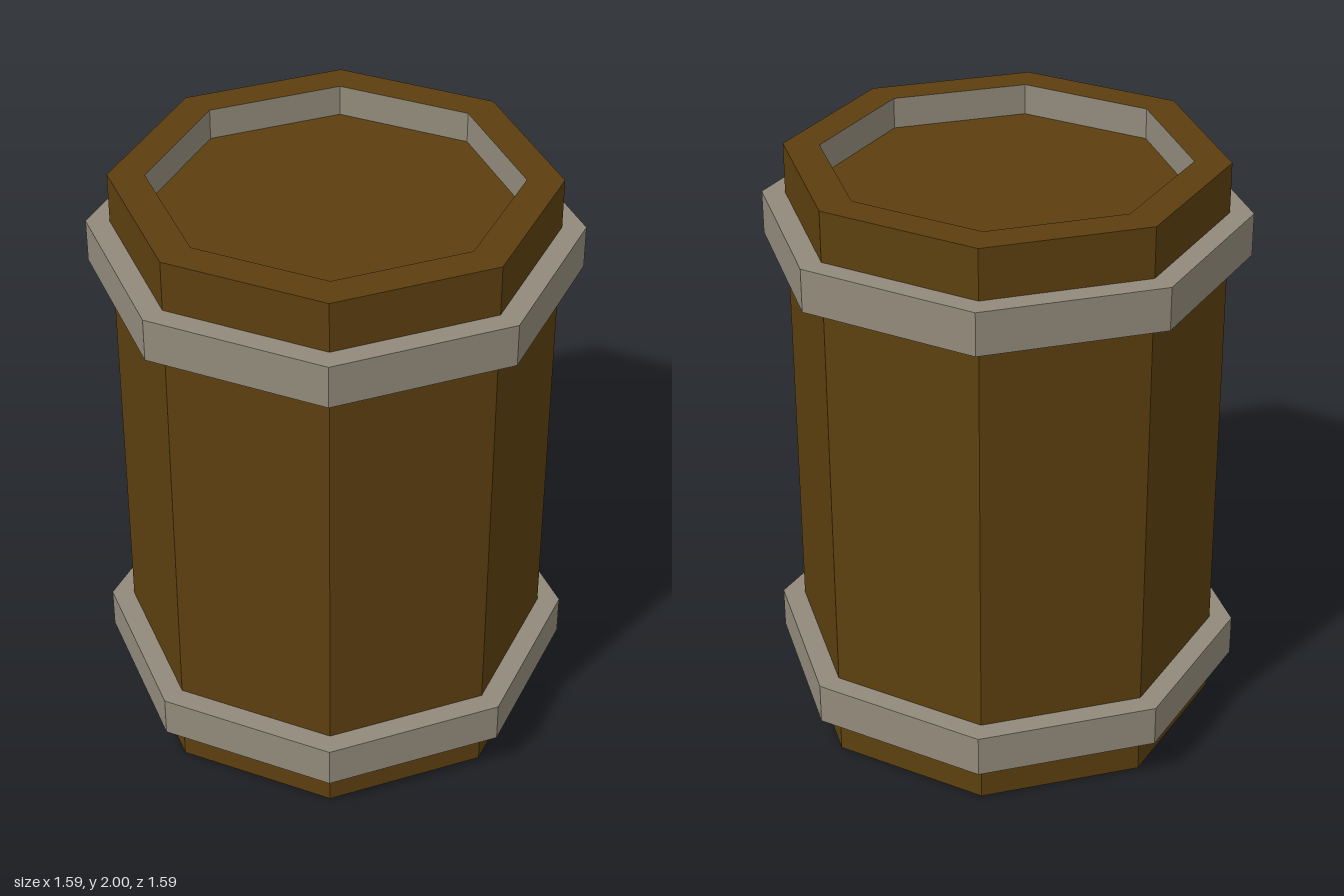
import * as THREE from 'three';

const SIDES = 8, BODY_R = 0.716, RIM_R = 0.597, BAND_R = 0.793, HEIGHT = 2, RECESS = 0.105;

export function createModel() {
  const wood = new THREE.MeshStandardMaterial({ color: 0x5c3f0f, flatShading: true });
  wood.name = 'brown wood';
  const metal = new THREE.MeshStandardMaterial({ color: 0x928a7b, flatShading: true });
  metal.name = 'grey metal';

  const barrel = new THREE.Group();
  barrel.name = 'barrel';

  // Revolves a [radius, height] profile into an eight-sided part
  const addPart = (name, profile, material) => {
    const points = profile.map(([r, y]) => new THREE.Vector2(r, y));
    const mesh = new THREE.Mesh(new THREE.LatheGeometry(points, SIDES), material);
    mesh.name = name;
    barrel.add(mesh);
  };

  // Staves with the flat rims at both ends
  addPart('staves', [[RIM_R, 0], [BODY_R, 0], [BODY_R, HEIGHT], [RIM_R, HEIGHT]], wood);

  // Sunken ends: a wooden head inside a metal-lined rim
  addPart('bottomHead', [[0, RECESS], [RIM_R, RECESS]], wood);
  addPart('bottomRimLining', [[RIM_R, RECESS], [RIM_R, 0]], metal);
  addPart('topRimLining', [[RIM_R, HEIGHT], [RIM_R, HEIGHT - RECESS]], metal);
  addPart('topHead', [[RIM_R, HEIGHT - RECESS], [0, HEIGHT - RECESS]], wood);

  // Metal hoops around the staves
  for (const [name, low, high] of [['lowerHoop', 0.148, 0.29], ['upperHoop', 1.685, 1.83]]) {
    addPart(name, [[BODY_R, low], [BAND_R, low], [BAND_R, high], [BODY_R, high]], metal);
  }
  return barrel;
}
